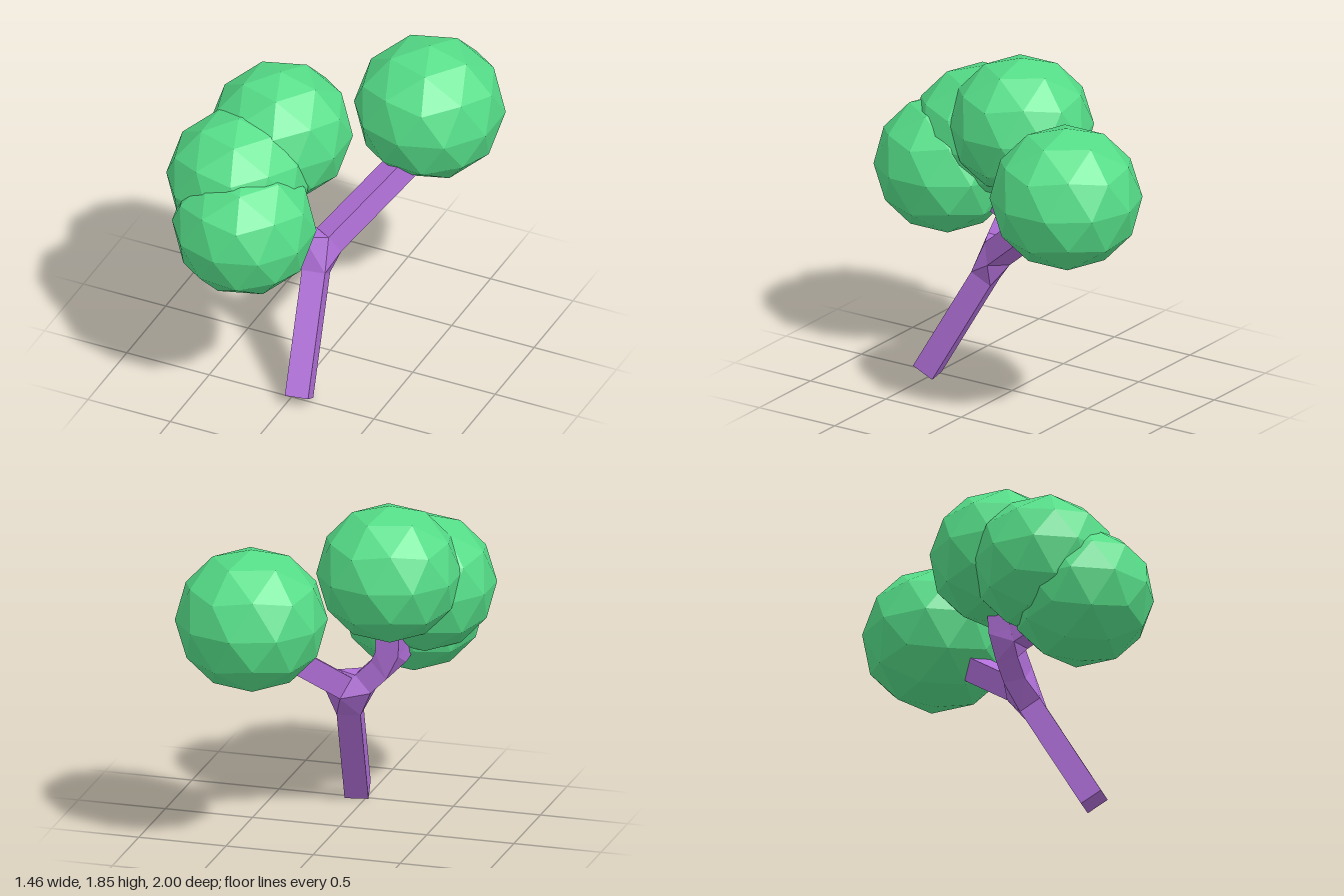
import * as THREE from 'three';
import { ConvexGeometry } from 'three/addons/geometries/ConvexGeometry.js';

const bark = new THREE.MeshStandardMaterial({ color: 0xb06fd8, flatShading: true });
const leaf = new THREE.MeshStandardMaterial({ color: 0x55dd88, flatShading: true });
const V = (x, y, z) => new THREE.Vector3(x, y, z);

// Four corners of a square cut across a limb at p, running along d
function section(p, d, hint, half = 0.066) {
  const dir = d.clone().normalize();
  const u = hint.clone().addScaledVector(dir, -hint.dot(dir)).normalize();
  const w = dir.clone().cross(u);
  return [[-1, -1], [1, -1], [1, 1], [-1, 1]].map(([a, b]) =>
    p.clone().addScaledVector(u, a * half).addScaledVector(w, b * half));
}

// Faceted piece of wood joining any number of square cuts
function wood(name, ...sections) {
  const mesh = new THREE.Mesh(new ConvexGeometry(sections.flat()), bark);
  mesh.name = name;
  return mesh;
}

export function createModel() {
  const tree = new THREE.Group();
  tree.name = 'tree';

  // Leaning trunk
  const trunkDir = V(-0.06, 0.605, -0.345);
  const trunkHint = V(1, 0, -0.19);
  const base = section(V(0.057, 0.033, 0.525), trunkDir, trunkHint);
  const trunkTop = section(V(-0.003, 0.638, 0.18), trunkDir, trunkHint);
  tree.add(wood('trunk', base, trunkTop));

  // Long branch to the back
  const backDir = V(0.24, 0.3, -0.39);
  const backHint = V(0.12, 0.015, 0.09);
  const backStart = section(V(0.03, 0.795, 0.08), backDir, backHint);
  const backEnd = section(V(0.32, 1.16, -0.39), backDir, backHint);
  tree.add(wood('backBranch', backStart, backEnd));

  // Short side branch with an elbow
  const sideDir = V(-0.75, 0.66, 0);
  const across = V(0, 0, 1);
  const sideStart = section(V(-0.11, 0.81, 0.14), sideDir, across);
  const elbow = section(V(-0.2, 0.9, 0.14), sideDir, across);
  tree.add(wood('fork', trunkTop, backStart, sideStart));
  tree.add(wood('sideBranch', sideStart, elbow));

  // Twigs leaving the elbow, upward and forward
  const upDir = V(-0.1, 1, 0);
  const upStart = section(V(-0.25, 1.0, 0.13), upDir, across);
  const upEnd = section(V(-0.26, 1.2, 0.12), upDir, across);
  const frontDir = V(-0.15, 0.3, 1);
  const frontStart = section(V(-0.25, 0.98, 0.21), frontDir, V(1, 0, 0));
  const frontEnd = section(V(-0.28, 1.05, 0.42), frontDir, V(1, 0, 0));
  tree.add(wood('elbow', elbow, upStart, frontStart));
  tree.add(wood('upperTwig', upStart, upEnd));
  tree.add(wood('frontTwig', frontStart, frontEnd));

  // Faceted leaf balls, a corner pointing straight up
  const ball = new THREE.IcosahedronGeometry(1, 1);
  ball.rotateZ(-Math.atan(2 / (1 + Math.sqrt(5))));
  const balls = [
    ['backFoliage', 0.33, 1.36, -0.58, 0.42, 0.405],
    ['topFoliage', -0.25, 1.46, 0.11, 0.4, 0.39],
    ['middleFoliage', -0.355, 1.315, 0.43, 0.4, 0.39],
    ['frontFoliage', -0.24, 1.135, 0.6, 0.4, 0.39],
  ];
  for (const [name, x, y, z, r, h] of balls) {
    const mesh = new THREE.Mesh(ball, leaf);
    mesh.name = name;
    mesh.position.set(x, y, z);
    mesh.scale.set(r, h, r);
    tree.add(mesh);
  }
  return tree;
}
